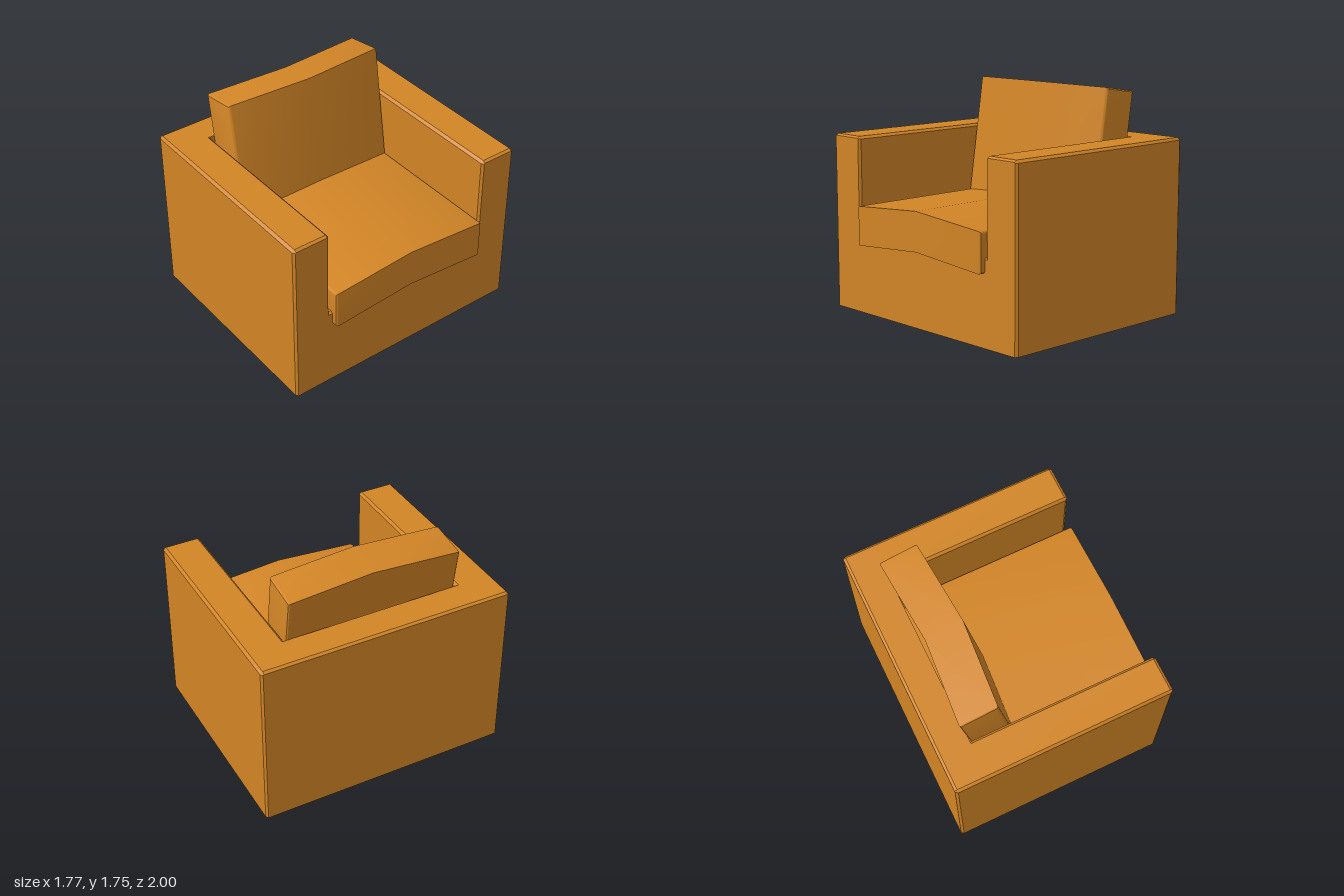
import * as THREE from 'three';
import { toCreasedNormals } from 'three/addons/utils/BufferGeometryUtils.js';

const H = 1.36, ARM = 0.7, FLOOR = 0.65, B = 0.02;
const BACK = -0.89, INNER = -0.64, FRONT = 0.84;

// Mirror a half outline of [z, y] points to the other side
const mirror = half => [...half, ...half.map(([z, y]) => [-z, y]).reverse()];

// U-shaped section through both arms and the seat base, shrunk by i
const armOutline = i => mirror([
  [1 - i, 0], [1 - i, H - B], [1 - B, H - i],
  [ARM + B, H - i], [ARM + i, H - B], [ARM + i, FLOOR - i],
]);

// Plain section through the back rest
const backOutline = i => mirror([[1 - i, 0], [1 - i, H - B], [1 - B, H - i]]);

// Skin a list of { x, pts } sections, running front to back, open below
function skin(sections) {
  const pos = [], idx = [], n = sections[0].pts.length;
  for (const { x, pts } of sections) for (const [z, y] of pts) pos.push(x, y, z);
  for (let s = 0; s < sections.length - 1; s++) {
    for (let k = 0; k < n - 1; k++) {
      const a = s * n + k, b = a + n;
      idx.push(a, a + 1, b, a + 1, b + 1, b);
    }
  }
  const g = new THREE.BufferGeometry();
  g.setAttribute('position', new THREE.Float32BufferAttribute(pos, 3));
  g.setIndex(idx);
  return toCreasedNormals(g, 0.5);
}

// Flat panel from a [z, y] outline, facing +x (dir 1) or -x (dir -1)
function panel(pts, x, dir) {
  const shape = new THREE.Shape(pts.map(([z, y]) => new THREE.Vector2(-dir * z, y)));
  return new THREE.ShapeGeometry(shape).rotateY(dir * Math.PI / 2).translate(x, 0, 0);
}

// Cushion slab with a corner at the origin and a ridge along its middle
function cushion(length, thickness) {
  const r = 0.02, width = 1.365, ridge = 0.052;
  const s = new THREE.Shape();
  s.moveTo(r, r);
  s.lineTo(length - r, r);
  s.lineTo(length - r, thickness - r);
  s.lineTo(r, thickness - r);
  s.closePath();
  const g = new THREE.ExtrudeGeometry(s, {
    depth: width - 2 * r, steps: 2, bevelSize: r, bevelThickness: r, bevelSegments: 3,
  });
  g.translate(0, 0, r - width / 2);
  const p = g.attributes.position;
  for (let i = 0; i < p.count; i++) {
    p.setY(i, p.getY(i) + ridge * (1 - Math.abs(p.getZ(i)) / (width / 2)));
  }
  return toCreasedNormals(g, 0.5);
}

export function createModel() {
  const group = new THREE.Group();
  const upholstery = new THREE.MeshStandardMaterial({ color: 0xd28526, side: THREE.DoubleSide });
  upholstery.name = 'orange upholstery';

  const add = (name, geometry) => {
    const mesh = new THREE.Mesh(geometry, upholstery);
    mesh.name = name;
    group.add(mesh);
    return mesh;
  };

  // Hollow frame, open underneath
  const i = 0.014;
  add('armsAndSeatBase', skin([
    { x: FRONT, pts: armOutline(i) },
    { x: FRONT - B, pts: armOutline(0) },
    { x: INNER, pts: armOutline(0) },
  ]));
  add('frontPanel', panel(armOutline(i), FRONT, 1));
  add('backFrame', skin([
    { x: INNER, pts: backOutline(0) },
    { x: BACK + B, pts: backOutline(0) },
    { x: BACK, pts: backOutline(i) },
  ]));
  add('backPanel', panel(backOutline(i), BACK, -1));
  add('innerBackPanel', panel(mirror([[ARM, FLOOR], [ARM, H]]), INNER, 1));

  // Loose cushions
  add('seatCushion', cushion(1.305, 0.303)).position.set(-0.42, 0.535, -0.007);
  const back = add('backCushion', cushion(1.13, 0.3));
  back.position.set(-0.695, 1.7, -0.007);
  back.rotation.z = -1.42;

  return group;
}
